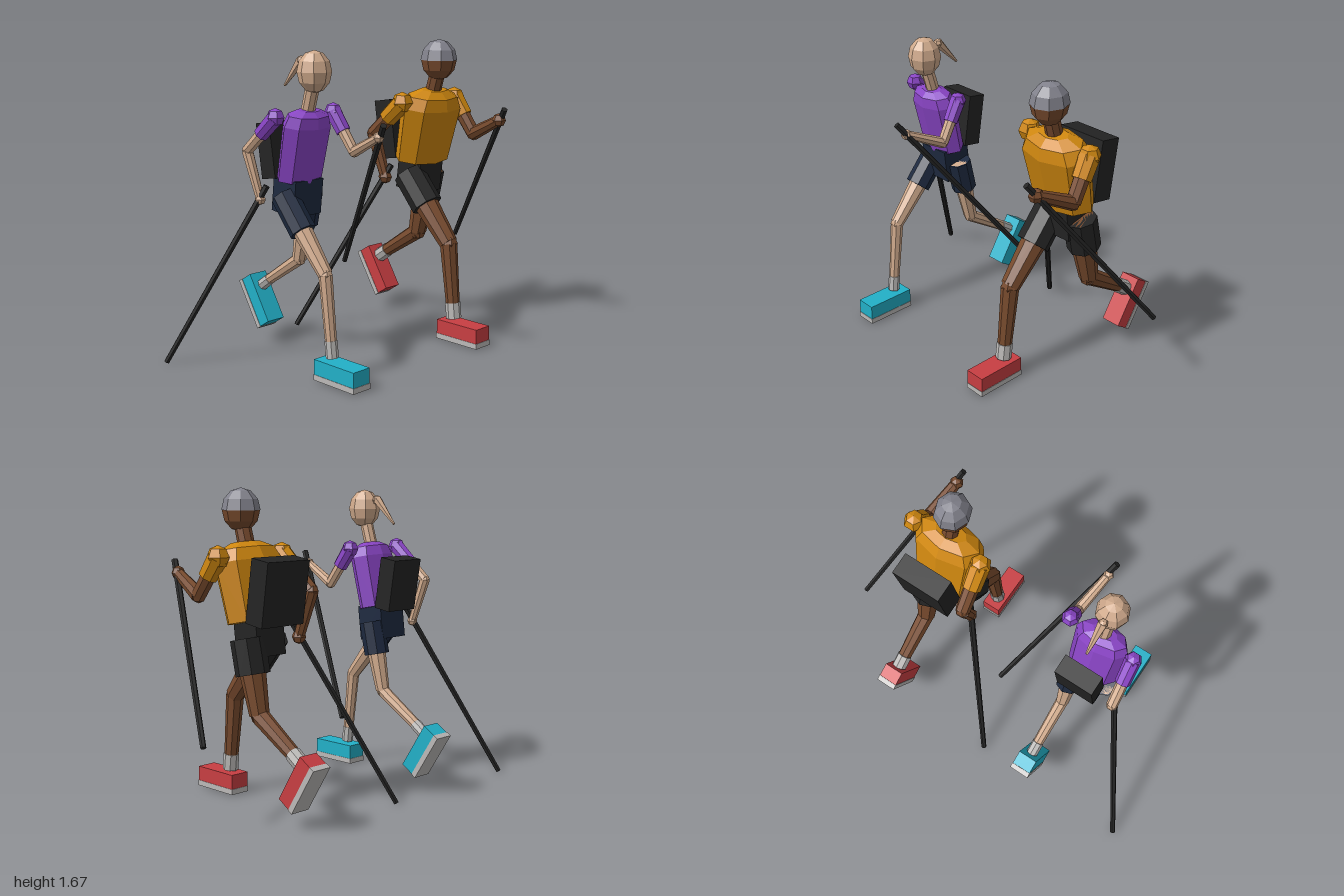
import * as THREE from 'three';

const paint = (name, color) => {
  const m = new THREE.MeshStandardMaterial({ color });
  m.name = name;
  return m;
};
const V = (x, y, z) => new THREE.Vector3(x, y, z);

// Adds a faceted mesh to a parent
function add(parent, name, geometry, material, pos = V(0, 0, 0)) {
  const geo = geometry.index ? geometry.toNonIndexed() : geometry;
  geo.computeVertexNormals();
  const mesh = new THREE.Mesh(geo, material);
  mesh.name = name;
  mesh.position.copy(pos);
  parent.add(mesh);
  return mesh;
}

// Tapered faceted cylinder from a to b
function limb(parent, name, a, b, ra, rb, material, sides = 8) {
  const dir = b.clone().sub(a);
  const mesh = add(parent, name, new THREE.CylinderGeometry(rb, ra, dir.length(), sides), material,
    a.clone().lerp(b, 0.5));
  mesh.quaternion.setFromUnitVectors(V(0, 1, 0), dir.normalize());
  return mesh;
}

function ball(parent, name, pos, r, material, w = 6, h = 4) {
  return add(parent, name, new THREE.SphereGeometry(r, w, h), material, pos);
}

// Boxy shoe with a pale sole; origin at the middle of the box
function shoe(parent, name, pos, pitch, upper, sole) {
  const g = new THREE.Group();
  g.name = name;
  g.position.copy(pos);
  g.rotation.x = pitch;
  add(g, 'shoeUpper', new THREE.BoxGeometry(0.113, 0.08, 0.285), upper, V(0, 0.015, 0));
  add(g, 'shoeSole', new THREE.BoxGeometry(0.117, 0.03, 0.29), sole, V(0, -0.04, 0));
  parent.add(g);
}

function runner(name, o) {
  const g = new THREE.Group();
  g.name = name;
  g.position.x = o.x;

  // Leaning torso
  const torso = add(g, 'shirt', new THREE.LatheGeometry(
    o.torso.map(([r, h]) => new THREE.Vector2(r, h)), 8).scale(1, 1, 0.57), o.shirt, V(0, 0.99, 0.004));
  torso.rotation.x = 0.22;

  // Neck and head
  limb(g, 'neck', V(0, 1.33, 0.07), V(0, 1.48, 0.115), o.neck, o.neck, o.skin);
  const head = ball(g, 'head', V(0, o.headY, 0.125), 1, o.skin, 8, 6);
  head.scale.set(...o.head);
  if (o.cap) {
    const cap = add(g, 'cap', new THREE.SphereGeometry(1.03, 8, 3, 0, Math.PI * 2, 0, Math.PI / 2),
      o.cap, head.position);
    cap.scale.copy(head.scale);
  }
  if (o.ponytail) {
    limb(g, 'ponytail', V(0, 1.6, 0.03), V(0, 1.462, -0.1), 0.027, 0.007, o.skin, 6);
    ball(g, 'ponytailRoot', V(0, 1.595, 0.03), 0.027, o.skin);
  }

  // Backpack
  const pack = add(g, 'backpack', new THREE.BoxGeometry(...o.pack), o.gear, V(0, o.packY, o.packZ));
  pack.rotation.x = -0.15;

  // Pelvis
  const pelvis = add(g, 'pelvis', new THREE.BoxGeometry(0.19, 0.19, 0.17), o.shorts, V(0, 0.905, -0.012));
  pelvis.rotation.x = 0.12;

  // Legs: right one striding forward, left one pushing off behind
  const legs = [
    { side: 'right', s: -1, hip: [0.91, -0.01], knee: [0.55, 0.295], sock: [0.215, 0.332], ankle: [0.126, 0.342] },
    { side: 'left', s: 1, hip: [0.91, -0.02], knee: [0.525, -0.107], sock: [0.368, -0.35], ankle: [0.322, -0.415] },
  ];
  for (const l of legs) {
    const at = ([y, z]) => V(l.s * 0.092, y, z);
    const [hip, knee, sock, ankle] = [l.hip, l.knee, l.sock, l.ankle].map(at);
    const hem = hip.clone().lerp(knee, 0.47);
    limb(g, l.side + 'ShortsLeg', hip, hem, o.shortsR, o.shortsR, o.shorts);
    limb(g, l.side + 'Thigh', hip, knee, o.thigh, o.knee, o.skin);
    ball(g, l.side + 'Knee', knee, o.knee, o.skin);
    limb(g, l.side + 'Shin', knee, sock, o.knee * 0.94, o.ankle, o.skin);
    limb(g, l.side + 'Sock', sock, ankle, o.ankle * 1.1, o.ankle * 1.1, o.pale);
  }
  shoe(g, 'rightShoe', V(-0.092, 0.058, 0.408), 0, o.shoe, o.pale);
  shoe(g, 'leftShoe', V(0.092, 0.232, -0.43), 1.01, o.shoe, o.pale);

  // Arms and poles: right one swung back, left one bent in front
  const arms = [
    { side: 'right', s: -1, shoulder: [0.212, 1.325, 0.045], elbow: [0.232, 1.14, -0.155], hand: [0.215, 0.895, -0.08],
      top: [0.197, 0.965, -0.05], tip: [0.547, 0.006, -0.478] },
    { side: 'left', s: 1, shoulder: [0.212, 1.325, 0.06], elbow: [0.235, 1.125, 0.19], hand: [0.194, 1.225, 0.405],
      top: [0.178, 1.29, 0.455], tip: [0.503, 0.435, -0.16] },
  ];
  for (const a of arms) {
    const at = ([x, y, z]) => V(a.s * (x - o.narrow), y, z);
    const [shoulder, elbow, hand, top, tip] = [a.shoulder, a.elbow, a.hand, a.top, a.tip].map(at);
    const cuff = shoulder.clone().lerp(elbow, 0.5);
    ball(g, a.side + 'Shoulder', shoulder, o.sleeve * 1.08, o.shirt);
    limb(g, a.side + 'Sleeve', shoulder, cuff, o.sleeve, o.sleeve * 0.92, o.shirt);
    limb(g, a.side + 'UpperArm', shoulder, elbow, o.arm * 1.1, o.arm, o.skin);
    ball(g, a.side + 'Elbow', elbow, o.arm, o.skin);
    limb(g, a.side + 'Forearm', elbow, hand, o.arm, o.arm * 0.75, o.skin);
    ball(g, a.side + 'Hand', hand, o.arm * 0.98, o.skin);
    limb(g, a.side + 'Pole', top, tip, 0.018, 0.015, o.gear, 6);
  }
  return g;
}

export function createModel() {
  const pale = paint('paleGrey', 0xbcbab8);
  const black = paint('black', 0x242424);
  const model = new THREE.Group();
  model.name = 'twoTrailRunners';

  model.add(runner('womanRunner', {
    x: -0.46, narrow: 0.022, pale, gear: black,
    shirt: paint('purple', 0x8a45c6), skin: paint('lightSkin', 0xd0aa8c),
    shorts: paint('navy', 0x1e2a40), shoe: paint('teal', 0x22b0c8),
    torso: [[0, 0], [0.143, 0], [0.153, 0.29], [0.13, 0.345], [0.07, 0.37], [0, 0.37]],
    neck: 0.036, headY: 1.545, head: [0.088, 0.108, 0.09], ponytail: true,
    pack: [0.22, 0.29, 0.105], packY: 1.13, packZ: -0.132,
    shortsR: 0.07, thigh: 0.062, knee: 0.038, ankle: 0.03, sleeve: 0.044, arm: 0.03,
  }));

  model.add(runner('manRunner', {
    x: 0.482, narrow: 0, pale, gear: black,
    shirt: paint('orange', 0xcf870f), skin: paint('brownSkin', 0x774a2d),
    shorts: black, shoe: paint('red', 0xc83e42), cap: paint('capGrey', 0x82828c),
    torso: [[0, 0], [0.193, 0], [0.218, 0.31], [0.18, 0.375], [0.095, 0.41], [0, 0.41]],
    neck: 0.044, headY: 1.555, head: [0.094, 0.112, 0.104],
    pack: [0.287, 0.335, 0.121], packY: 1.153, packZ: -0.15,
    shortsR: 0.09, thigh: 0.082, knee: 0.052, ankle: 0.039, sleeve: 0.057, arm: 0.04,
  }));
  return model;
}
